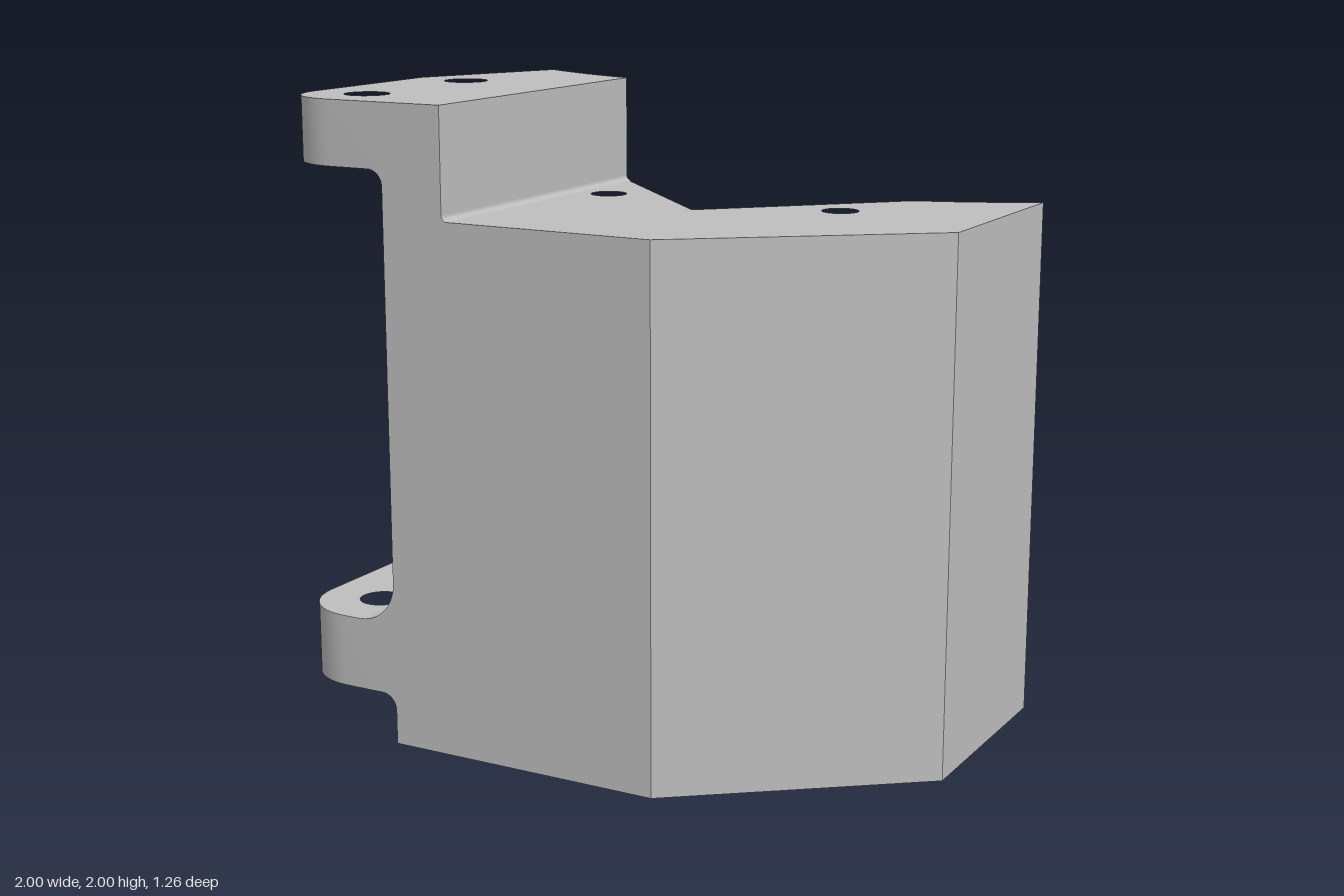
import * as THREE from 'three';
import { toCreasedNormals } from 'three/addons/utils/BufferGeometryUtils.js';

const CX = 0.12, CZ = -2.17;          // axis of the curved back
const R_BACK = 1.785, R_WALL = 2.3;   // back edge and inner recess wall
const SIDE = -0.61, FRONT = 0.63, LID = 1.55, TOP = 1.66;

// z of a concentric arc at a given x
const arcZ = (x, r) => CZ + Math.sqrt(r * r - (x - CX) ** 2);

// points [x, z] along a concentric arc
function arc(x0, x1, r, n = 24) {
  return Array.from({ length: n + 1 }, (_, i) => {
    const x = x0 + (x1 - x0) * i / n;
    return [x, arcZ(x, r)];
  });
}

export function createModel() {
  const model = new THREE.Group();
  model.name = 'mountingBracket';
  const grey = new THREE.MeshStandardMaterial({ color: 0xbebebe });
  grey.name = 'plainGrey';

  function add(name, geometry) {
    const mesh = new THREE.Mesh(toCreasedNormals(geometry, 0.5), grey);
    mesh.name = name;
    model.add(mesh);
  }

  // upright prism from a plan outline [x, z], with round holes [x, z, r]
  function prism(name, outline, y0, y1, holes = []) {
    const shape = new THREE.Shape(outline.map(([x, z]) => new THREE.Vector2(x, -z)));
    for (const [x, z, r] of holes) {
      const hole = new THREE.Path();
      hole.absarc(x, -z, r, 0, Math.PI * 2, true);
      shape.holes.push(hole);
    }
    const geo = new THREE.ExtrudeGeometry(shape, { depth: y1 - y0, bevelEnabled: false, curveSegments: 16 });
    geo.rotateX(-Math.PI / 2).translate(0, y0, 0);
    add(name, geo);
  }

  // concave fillet in the corner (x, y), opening towards (sx, sy), running along z
  function fillet(name, x, y, r, sx, sy, z0, z1) {
    const pts = [new THREE.Vector2(x, y)];
    for (let i = 0; i <= 10; i++) {
      const a = i / 10 * Math.PI / 2;
      pts.push(new THREE.Vector2(x + sx * r * (1 - Math.sin(a)), y + sy * r * (1 - Math.cos(a))));
    }
    const geo = new THREE.ExtrudeGeometry(new THREE.Shape(pts), { depth: z1 - z0, bevelEnabled: false });
    add(name, geo.translate(0, 0, z0));
  }

  // main body: chamfered front with a curved recess behind, blind holes underneath
  const body = [...arc(SIDE, 1, R_WALL, 40), [1, 0.09], [0.3, FRONT], [SIDE, FRONT]];
  prism('bodyBase', body, 0, 0.3, [[0.44, 0.35, 0.057], [0.17, 0.42, 0.057], [-0.366, 0.43, 0.057]]);
  prism('bodyWall', body, 0.3, LID);

  // end posts, cut on a radial line of the recess
  const t = Math.PI / 8;
  const dx = R_BACK * Math.sin(t), pz = CZ + R_BACK * Math.cos(t);
  prism('leftPost', [...arc(CX + dx, 1, R_BACK, 6), [1, arcZ(1, R_WALL)]], 0, LID);
  prism('rightPost', [[SIDE, CZ + (CX - SIDE) / Math.tan(t)], [CX - dx, pz], [SIDE, arcZ(SIDE, R_BACK)]], 0, LID);

  // thin upright bar dividing the side opening
  prism('windowBar', [[SIDE, -0.03], [SIDE, -0.17], [SIDE + 0.02, -0.17], [SIDE + 0.02, -0.03]], 0.16, LID);

  // lid with a V notch and two holes
  prism('lid', [...arc(SIDE, CX - 0.51, R_BACK, 6), [CX, 0.05], ...arc(CX + 0.51, 1, R_BACK, 8),
    [1, 0.09], [0.3, FRONT], [SIDE, FRONT]], LID, TOP, [[-0.285, -0.145, 0.057], [0.525, -0.145, 0.057]]);

  // raised block joining the lid to the top flange
  prism('riser', [...arc(SIDE, -0.4, R_BACK, 6), [-0.4, FRONT], [SIDE, FRONT]], TOP, 1.8);

  // flanges with two bolt holes and a rounded front corner
  function flange(name, xEnd, y0, y1) {
    const corner = [];
    for (let i = 0; i <= 12; i++) {
      const a = i / 12 * Math.PI / 2;
      corner.push([-0.8 - 0.2 * Math.sin(a), 0.43 + 0.2 * Math.cos(a)]);
    }
    prism(name, [[-1, -0.15], ...arc(-0.79, xEnd, R_BACK, 10), [xEnd, FRONT], ...corner], y0, y1,
      [[-0.8, -0.11, 0.07], [-0.8, 0.43, 0.07]]);
  }
  flange('topFlange', -0.4, 1.8, 2);
  flange('bottomFlange', SIDE, 0.16, 0.39);

  // fillets at the flange roots and the step
  const back = arcZ(SIDE, R_BACK);
  fillet('topFlangeFillet', SIDE, 1.8, 0.05, -1, -1, back, FRONT);
  fillet('bottomFlangeUpperFillet', SIDE, 0.39, 0.13, -1, 1, back, FRONT);
  fillet('bottomFlangeLowerFillet', SIDE, 0.16, 0.05, -1, -1, back, FRONT);
  fillet('stepFillet', -0.4, TOP, 0.018, 1, 1, arcZ(-0.4, R_BACK), FRONT);

  return model;
}
